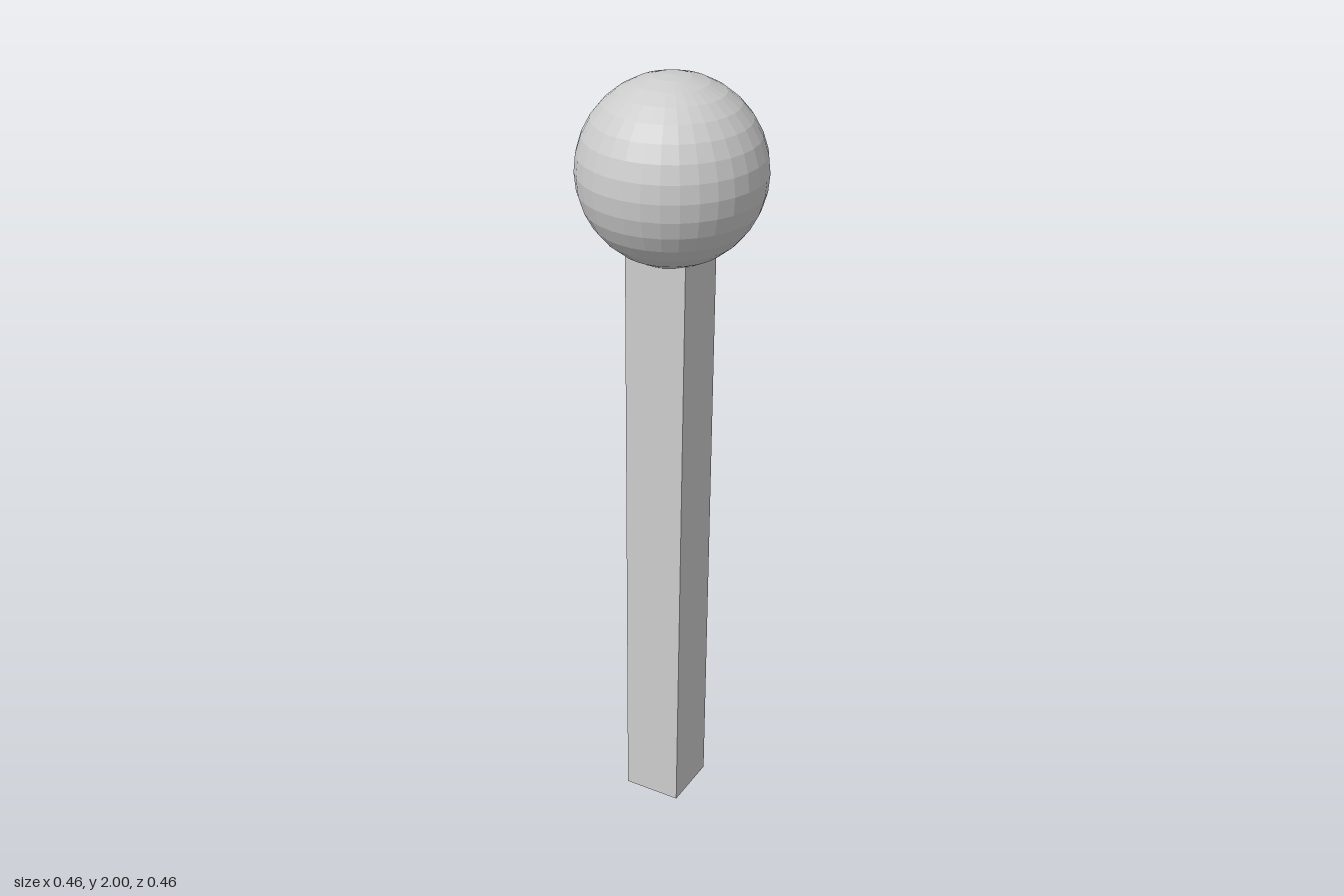
import * as THREE from 'three';

export function createModel() {
  const group = new THREE.Group();
  const material = new THREE.MeshStandardMaterial({ color: 0xcccccc, flatShading: true });

  // Faceted ball on top
  const ball = new THREE.Mesh(new THREE.SphereGeometry(0.23, 32, 16), material);
  ball.name = 'ball';
  ball.position.y = 1.77;
  group.add(ball);

  // Square post, leaning slightly forward at the foot, running up into the ball
  const height = 1.7;
  const geometry = new THREE.BoxGeometry(1, height, 1).translate(0, height / 2, 0);
  const p = geometry.attributes.position;
  for (let i = 0; i < p.count; i++) {
    const t = p.getY(i) / height;
    const width = THREE.MathUtils.lerp(0.154, 0.165, t);
    const depth = THREE.MathUtils.lerp(0.158, 0.153, t);
    const lean = THREE.MathUtils.lerp(0.035, 0.003, t);
    p.setX(i, p.getX(i) * width);
    p.setZ(i, p.getZ(i) * depth + lean);
  }
  geometry.computeVertexNormals();
  const post = new THREE.Mesh(geometry, material);
  post.name = 'post';
  group.add(post);

  return group;
}
